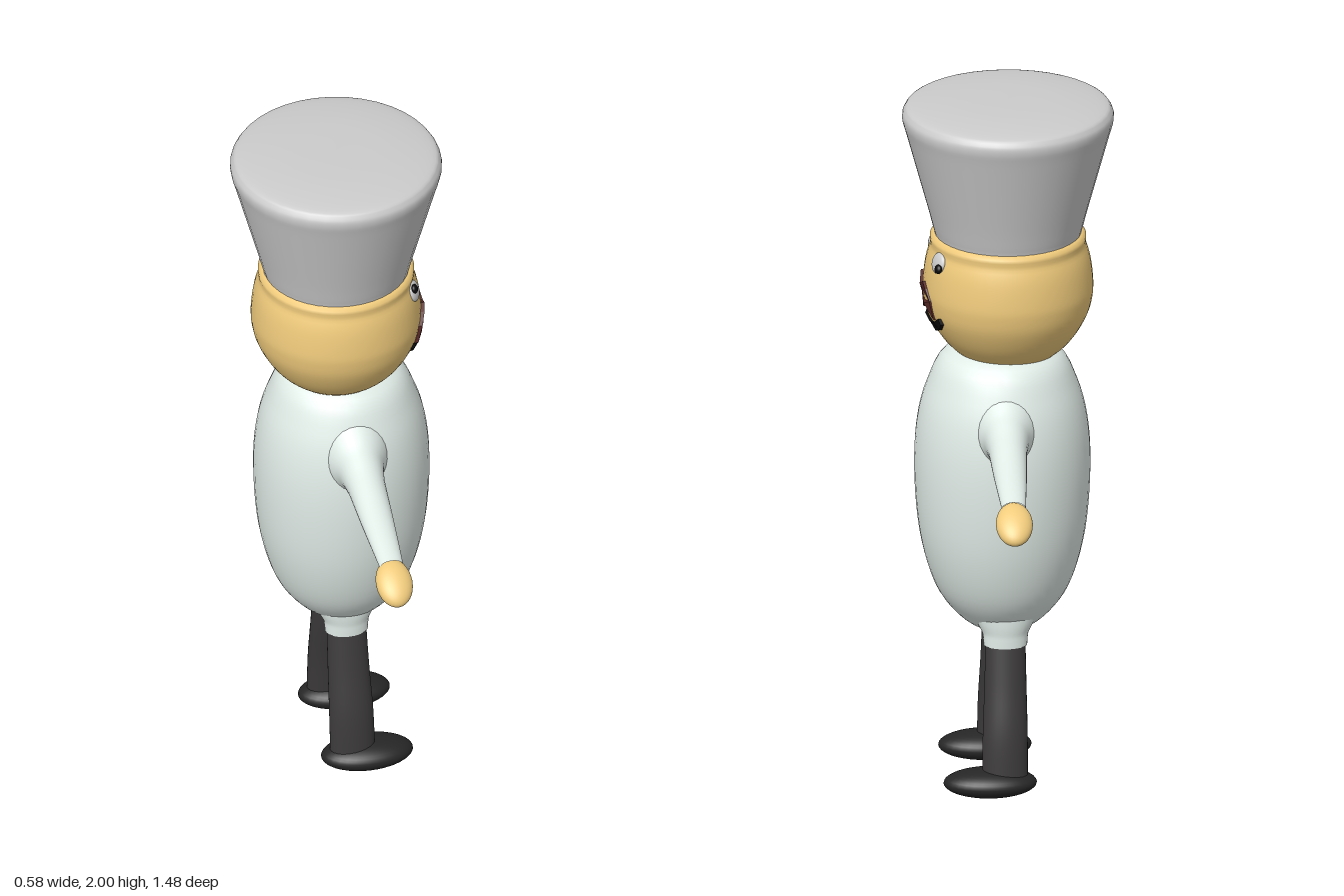
import * as THREE from 'three';
import { mergeVertices } from 'three/addons/utils/BufferGeometryUtils.js';

const mat = (color) => new THREE.MeshStandardMaterial({ color });
const coat = mat(0xe2ede8), skin = mat(0xf0cb7c), trousers = mat(0x3c3a3b);
const leather = mat(0x262626), grey = mat(0xcccccc), black = mat(0x0c0a0a), brown = mat(0x5a2a28);
coat.side = trousers.side = THREE.DoubleSide;

const HEAD = [[0, 1.25], [0.11, 1.255], [0.15, 1.275], [0.19, 1.32], [0.222, 1.38], [0.234, 1.43],
  [0.235, 1.47], [0.228, 1.53], [0.215, 1.575], [0.195, 1.615], [0, 1.63]];

// Radius of the head at a given height
function headRadius(y) {
  for (let i = 1; i < HEAD.length; i++) {
    const [r0, y0] = HEAD[i - 1], [r1, y1] = HEAD[i];
    if (y <= y1) return r0 + (r1 - r0) * (y - y0) / (y1 - y0);
  }
  return 0;
}
const headX = (y, z) => Math.sqrt(Math.max(headRadius(y) ** 2 - z * z, 0));

// Smooth surface of revolution through a few [radius, height] points
function lathe(points, segments = 48) {
  const curve = new THREE.SplineCurve(points.map(([r, y]) => new THREE.Vector2(r, y)));
  const profile = curve.getPoints(points.length * 4);
  profile.forEach((p) => { p.x = Math.max(p.x, 0); });
  return new THREE.LatheGeometry(profile, segments);
}

// Open tube along y through elliptical rings [y, x, z, radiusX, radiusZ]
function loft(rings) {
  const centres = new THREE.CatmullRomCurve3(rings.map(([y, x, z]) => new THREE.Vector3(x, y, z)));
  const radii = new THREE.CatmullRomCurve3(rings.map((r) => new THREE.Vector3(r[3], 0, r[4])));
  let geo = new THREE.CylinderGeometry(1, 1, 1, 28, rings.length * 4, true);
  const pos = geo.attributes.position;
  for (let i = 0; i < pos.count; i++) {
    const t = Math.min(Math.max(pos.getY(i) + 0.5, 0), 1);
    const c = centres.getPoint(t), r = radii.getPoint(t);
    pos.setXYZ(i, c.x + pos.getX(i) * r.x, c.y, c.z + pos.getZ(i) * r.z);
  }
  geo.deleteAttribute('uv');
  geo.deleteAttribute('normal');
  geo = mergeVertices(geo, 1e-5);
  geo.computeVertexNormals();
  return geo;
}

// Flat outline wrapped onto the front of the head
function faceRelief(outline, raise) {
  const shape = new THREE.Shape(outline.map(([u, y]) => new THREE.Vector2(u, y)));
  const geo = new THREE.ExtrudeGeometry(shape, { depth: 1, bevelEnabled: false });
  geo.rotateY(Math.PI / 2);
  const pos = geo.attributes.position;
  for (let i = 0; i < pos.count; i++) {
    const lift = pos.getX(i) > 0.5 ? raise : -0.02;
    pos.setX(i, headX(pos.getY(i), pos.getZ(i)) + lift);
  }
  geo.computeVertexNormals();
  return geo;
}

export function createModel() {
  const model = new THREE.Group();
  const add = (name, geo, material, x = 0, y = 0, z = 0, parent = model) => {
    const mesh = new THREE.Mesh(geo, material);
    mesh.name = name;
    mesh.position.set(x, y, z);
    parent.add(mesh);
    return mesh;
  };
  const ellipsoid = (x, y, z) => new THREE.SphereGeometry(1, 32, 20).scale(x, y, z);

  // Egg-shaped torso
  add('torso', lathe([[0, 0.445], [0.07, 0.455], [0.135, 0.505], [0.19, 0.59], [0.228, 0.73],
    [0.243, 0.9], [0.237, 1.05], [0.208, 1.17], [0.15, 1.265], [0, 1.29]]), coat, 0.016, 0, -0.005);

  // Head and flared hat
  add('head', lathe(HEAD), skin);
  add('hat', lathe([[0, 1.606], [0.1, 1.606], [0.195, 1.607], [0.203, 1.615], [0.22, 1.68], [0.25, 1.79],
    [0.28, 1.9], [0.292, 1.945], [0.287, 1.97], [0.262, 1.985], [0.15, 1.997], [0, 2]], 40), grey);

  for (const s of [1, -1]) {
    const side = s > 0 ? 'left' : 'right';

    // Sleeve flaring into the shoulder: distance out, height, half width, half height
    const sleeve = [[0.14, 1.075, 0.11, 0.15], [0.2, 1.082, 0.088, 0.108], [0.25, 1.084, 0.064, 0.073],
      [0.32, 1.078, 0.053, 0.052], [0.45, 1.06, 0.046, 0.036], [0.56, 1.047, 0.039, 0.026],
      [0.645, 1.036, 0.033, 0.019]];
    add(side === 'left' ? 'sleeveOne' : 'sleeveTwo',
      loft(sleeve.map(([d, h, w, t]) => [d, 0.016, -s * h, w, t])).rotateX(s * Math.PI / 2), coat);

    // Mitten hand drooping outward
    const hand = add('hand', ellipsoid(0.051, 0.031, 0.072), skin, 0.016, 1.002, s * 0.677);
    hand.rotation.x = s * 0.57;

    // Trouser leg with the coat hem around its top
    const z = (d) => s * d - 0.01;
    add('hem', loft([[0.428, 0.012, z(0.09), 0.06, 0.041], [0.46, 0.012, z(0.085), 0.063, 0.046],
      [0.49, 0.012, z(0.078), 0.078, 0.056], [0.53, 0.012, z(0.065), 0.1, 0.07]]), coat);
    add('leg', loft([[0.05, 0.016, z(0.152), 0.063, 0.04], [0.18, 0.015, z(0.138), 0.062, 0.042],
      [0.32, 0.013, z(0.11), 0.058, 0.041], [0.46, 0.012, z(0.085), 0.055, 0.037]]), trousers);

    // Oval shoe
    add('shoe', ellipsoid(0.129, 0.04, 0.072), leather, 0.057, 0.044, z(0.149));

    // Eye with an off-centre pupil
    const ez = s > 0 ? 0.094 : -0.1;
    const eye = new THREE.Group();
    eye.name = 'eye';
    eye.position.set(headX(1.557, ez), 1.557, ez);
    eye.rotation.set(0, -Math.atan2(ez, eye.position.x), 0.3, 'YZX');
    model.add(eye);
    add('eyeball', ellipsoid(0.012, 0.03, 0.03), grey, 0, 0, 0, eye);
    add('pupil', ellipsoid(0.009, 0.013, 0.013), black, 0.009, s * 0.013, s > 0 ? 0.011 : -0.019, eye);
  }

  // Two-peaked moustache
  const half = [[0.045, 1.482], [0.07, 1.468], [0.097, 1.44], [0.097, 1.385], [0.075, 1.405], [0.048, 1.418]];
  add('moustache', faceRelief([[0, 1.458], ...half, [0, 1.39],
    ...half.map(([u, y]) => [-u, y]).reverse()], 0.009), brown, 0, 0, 0.006);

  // Wide upturned mouth
  const grin = [[0.055, 1.37], [0.095, 1.38], [0.125, 1.402], [0.128, 1.385], [0.105, 1.362], [0.06, 1.343]];
  add('mouth', faceRelief([[0, 1.374], ...grin, [0, 1.347],
    ...grin.map(([u, y]) => [-u, y]).reverse()], 0.01), black);

  return model;
}
